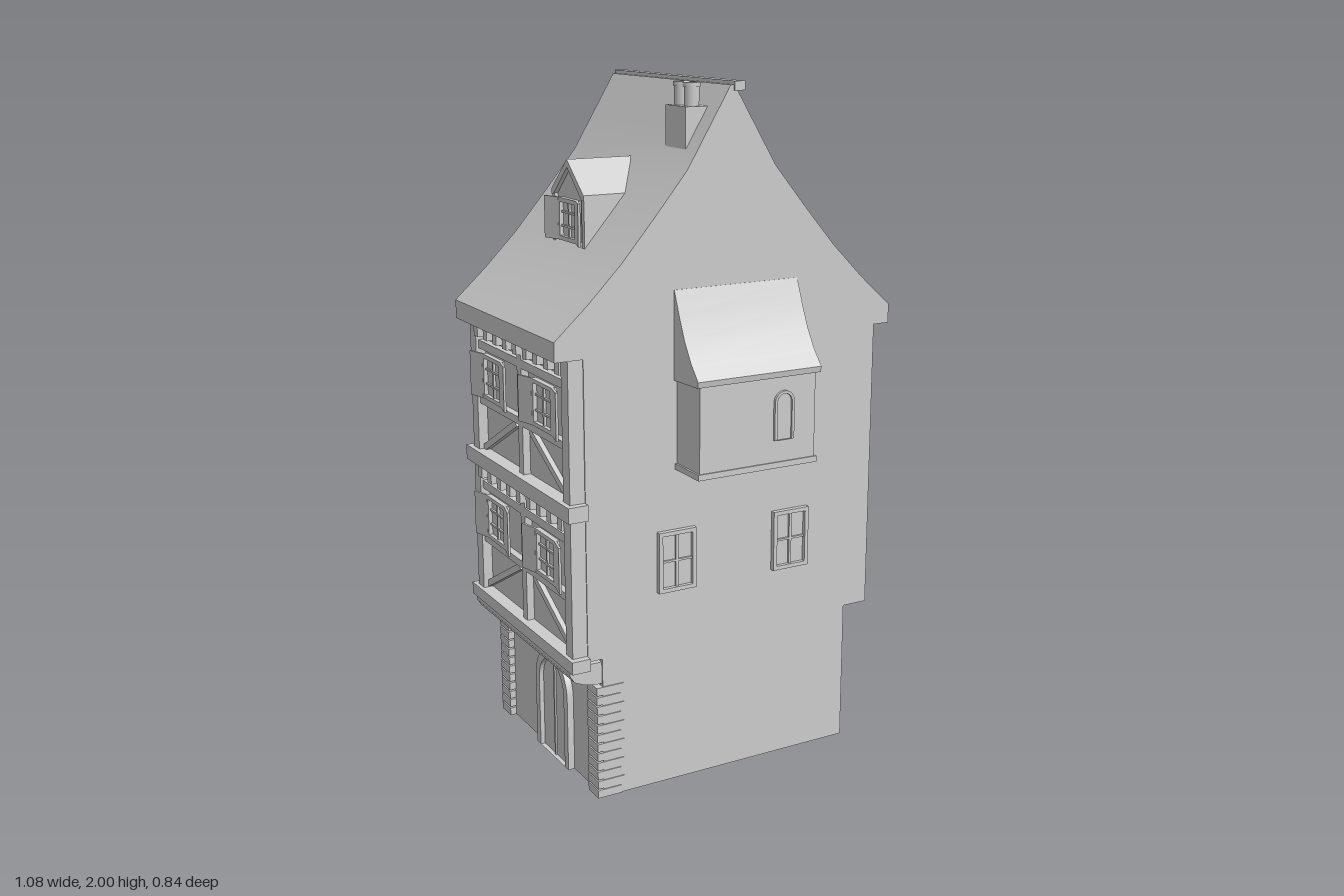
import * as THREE from 'three';
import { toCreasedNormals } from 'three/addons/utils/BufferGeometryUtils.js';

const mat = new THREE.MeshStandardMaterial({ color: 0xcccccc, side: THREE.DoubleSide });

function add(parent, name, geometry) {
  const mesh = new THREE.Mesh(geometry, mat);
  mesh.name = name;
  parent.add(mesh);
  return mesh;
}

// Box given by its limits on each axis
function box(parent, name, x0, x1, y0, y1, z0, z1) {
  const m = add(parent, name, new THREE.BoxGeometry(x1 - x0, y1 - y0, z1 - z0));
  m.position.set((x0 + x1) / 2, (y0 + y1) / 2, (z0 + z1) / 2);
  return m;
}

const shapeOf = pts => new THREE.Shape(pts.map(p => new THREE.Vector2(...p)));

// Profile in x-y, extruded from z0 to z1
function prismZ(parent, name, shape, z0, z1) {
  const g = new THREE.ExtrudeGeometry(shape, { depth: z1 - z0, bevelEnabled: false, curveSegments: 10 });
  const m = add(parent, name, toCreasedNormals(g, 0.5));
  m.position.z = z0;
  return m;
}

// Profile in z-y, extruded from x0 to x1
function prismX(parent, name, shape, x0, x1) {
  const m = prismZ(parent, name, shape, 0, x1 - x0);
  m.rotation.y = -Math.PI / 2;
  m.position.set(x1, 0, 0);
  return m;
}

// Framed casement facing +z, centred on its own origin
function makeWindow(name, w, h, rails, shutter = 0, angle = 0.25) {
  const g = new THREE.Group();
  g.name = name;
  const t = 0.012, d = 0.016, X = w / 2, Y = h / 2;
  for (const s of [-1, 1]) {
    box(g, 'windowFrame', s * (X - t / 2) - t / 2, s * (X - t / 2) + t / 2, -Y, Y, 0, d);
    box(g, 'windowFrame', -X, X, s * (Y - t / 2) - t / 2, s * (Y - t / 2) + t / 2, 0, d);
    if (shutter) {
      const hinge = new THREE.Group();
      hinge.name = 'shutter';
      hinge.position.set(s * X, 0, d * 0.6);
      hinge.rotation.y = -s * angle;
      const a = s * shutter;
      box(hinge, 'shutterPanel', Math.min(0, a), Math.max(0, a), -Y, Y, 0, 0.007);
      g.add(hinge);
    }
  }
  box(g, 'glass', -X + t, X - t, -Y + t, Y - t, 0, 0.004);
  box(g, 'mullion', -0.004, 0.004, -Y, Y, 0, 0.011);
  for (let i = 1; i <= rails; i++) {
    const y = -Y + (h * i) / (rails + 1);
    box(g, 'glazingBar', -X, X, y - 0.003, y + 0.003, 0, 0.01);
  }
  return g;
}

function archShape(z, r, spring) {
  const s = new THREE.Shape();
  s.moveTo(z - r, 0);
  s.lineTo(z + r, 0);
  s.lineTo(z + r, spring);
  s.absarc(z, spring, r, 0, Math.PI, false);
  s.closePath();
  return s;
}

export function createModel() {
  const house = new THREE.Group();
  house.name = 'house';
  const F = 0.285, B = -0.395;

  // Side walls; the +x side stays open
  for (const [z0, z1] of [[F - 0.045, F], [B, B + 0.045]]) {
    box(house, 'lowerWall', -0.41, 0.41, 0, 0.43, z0, z1);
    box(house, 'upperWall', -0.455, 0.49, z0 > 0 ? 0.425 : 0.41, 1.3, z0, z1);
    box(house, 'cornerPost', -0.5, -0.45, 0.41, 1.3, z0 > 0 ? z0 : z0 + 0.003, z0 > 0 ? z1 - 0.003 : z1);
  }

  // Main roof with curved slopes
  const half = [[0.54, 1.29], [0.54, 1.345], [0.44, 1.435], [0.34, 1.535], [0.24, 1.65], [0.14, 1.77], [0.07, 1.885], [0.006, 1.99]];
  const mirror = half.map(([x, y]) => [-x, y]).reverse();
  prismZ(house, 'mainRoof', shapeOf([...half, ...mirror]), -0.4, 0.287);
  box(house, 'ridgeCap', 0.004, 0.036, 1.975, 2, -0.408, 0.292);

  // Ground floor of the street facade with arched door
  box(house, 'groundFacade', -0.41, -0.365, 0, 0.42, B + 0.04, F - 0.04);
  const surround = archShape(-0.02, 0.11, 0.225);
  surround.holes.push(archShape(-0.02, 0.085, 0.225));
  prismX(house, 'doorSurround', surround, -0.43, -0.405);
  prismX(house, 'door', archShape(-0.02, 0.085, 0.225), -0.416, -0.405);
  box(house, 'doorSplit', -0.421, -0.41, 0, 0.3, -0.024, -0.016);

  // Corner quoins
  for (let i = 0; i < 12; i++) {
    const y = i * 0.0288;
    const x1 = i % 2 ? -0.345 : -0.355;
    box(house, 'quoin', -0.43, x1, y, y + 0.024, 0.225, F + 0.003);
    box(house, 'quoin', -0.43, x1, y, y + 0.024, B - 0.004, -0.335);
  }

  // Rounded corbel carrying the overhang
  prismZ(house, 'corbel', shapeOf([[-0.4, 0.35], [-0.4, 0.415], [-0.51, 0.415], [-0.508, 0.39],
    [-0.495, 0.37], [-0.465, 0.357], [-0.43, 0.35]].reverse()), B + 0.005, F - 0.005);
  // Beams across the facade
  box(house, 'lowerBeam', -0.512, -0.455, 0.405, 0.442, -0.415, 0.303);
  box(house, 'middleBeam', -0.515, -0.455, 0.845, 0.89, -0.418, 0.303);

  // Two timbered storeys: plaster, frame, brackets, windows, braces
  for (const y of [0.43, 0.868]) {
    box(house, 'facadePanel', -0.47, -0.44, y, y + 0.437, B + 0.04, F - 0.04);
    box(house, 'sillRail', -0.492, -0.46, y + 0.165, y + 0.187, B + 0.04, F - 0.04);
    box(house, 'headRail', -0.492, -0.46, y + 0.335, y + 0.36, B + 0.04, F - 0.04);
    box(house, 'middlePost', -0.492, -0.46, y, y + 0.42, -0.07, -0.04);
    for (let i = 0; i < 9; i++) {
      const z = -0.335 + i * 0.07;
      box(house, 'jettyBlock', -0.506, -0.46, y + 0.375, y + 0.415, z - 0.014, z + 0.014);
    }
    for (const s of [-1, 1]) {
      const z = -0.055 + s * 0.175;
      const win = makeWindow('facadeWindow', 0.135, 0.135, 2, 0.06);
      win.position.set(-0.488, y + 0.262, z);
      win.rotation.y = -Math.PI / 2;
      house.add(win);
      const brace = add(house, 'diagonalBrace', new THREE.BoxGeometry(0.02, 0.02, 0.29));
      brace.position.set(-0.475, y + 0.09, z);
      brace.rotation.x = s * 0.5;
    }
  }

  // Side windows on the front wall
  for (const x of [-0.175, 0.205]) {
    const win = makeWindow('sideWindow', 0.12, 0.18, 1);
    win.position.set(x, 0.68, F - 0.001);
    house.add(win);
  }

  // Projecting bay with swept roof and arched light
  box(house, 'bay', -0.17, 0.203, 0.95, 1.23, F - 0.02, 0.41);
  box(house, 'bayFoot', -0.176, 0.21, 0.945, 0.962, F - 0.02, 0.414);
  prismX(house, 'bayRoof', shapeOf([[0.27, 1.2], [0.415, 1.205], [0.418, 1.222], [0.38, 1.265],
    [0.345, 1.32], [0.315, 1.385], [0.288, 1.452], [0.27, 1.452]]), -0.18, 0.217);
  const light = archShape(0, 0.032, 0.108);
  light.holes.push(archShape(0, 0.024, 0.108));
  const rim = prismZ(house, 'bayWindowFrame', light, 0.405, 0.418);
  const glass = prismZ(house, 'bayWindowGlass', archShape(0, 0.024, 0.108), 0.4, 0.412);
  for (const m of [rim, glass]) m.position.set(0.098, 1.026, m.position.z);

  // Dormer on the street slope
  const c = -0.047;
  prismX(house, 'dormerBody', shapeOf([[c - 0.09, 1.5], [c + 0.09, 1.5], [c + 0.09, 1.685], [c, 1.765], [c - 0.09, 1.685]]), -0.322, -0.15);
  prismX(house, 'dormerRoof', shapeOf([[c - 0.103, 1.675], [c - 0.09, 1.675], [c, 1.758], [c + 0.09, 1.675],
    [c + 0.103, 1.675], [c + 0.103, 1.69], [c, 1.78], [c - 0.103, 1.69]]), -0.335, -0.13);
  for (const s of [-1, 1]) {
    const z = c + s * 0.094;
    box(house, 'dormerCheek', -0.333, -0.19, 1.5, 1.69, z - 0.008, z + 0.008);
  }
  const dormerWindow = makeWindow('dormerWindow', 0.12, 0.12, 2, 0.055, 0.35);
  dormerWindow.position.set(-0.321, 1.61, c);
  dormerWindow.rotation.y = -Math.PI / 2;
  house.add(dormerWindow);

  // Chimney with two pots
  box(house, 'chimney', -0.11, -0.042, 1.78, 1.932, 0.115, 0.226);
  for (const z of [0.145, 0.198]) {
    const pot = add(house, 'chimneyPot', new THREE.CylinderGeometry(0.021, 0.021, 0.07, 20));
    pot.position.set(-0.076, 1.96, z);
    const lip = add(house, 'chimneyPotRim', new THREE.CylinderGeometry(0.024, 0.024, 0.012, 20));
    lip.position.set(-0.076, 1.989, z);
  }

  return house;
}
